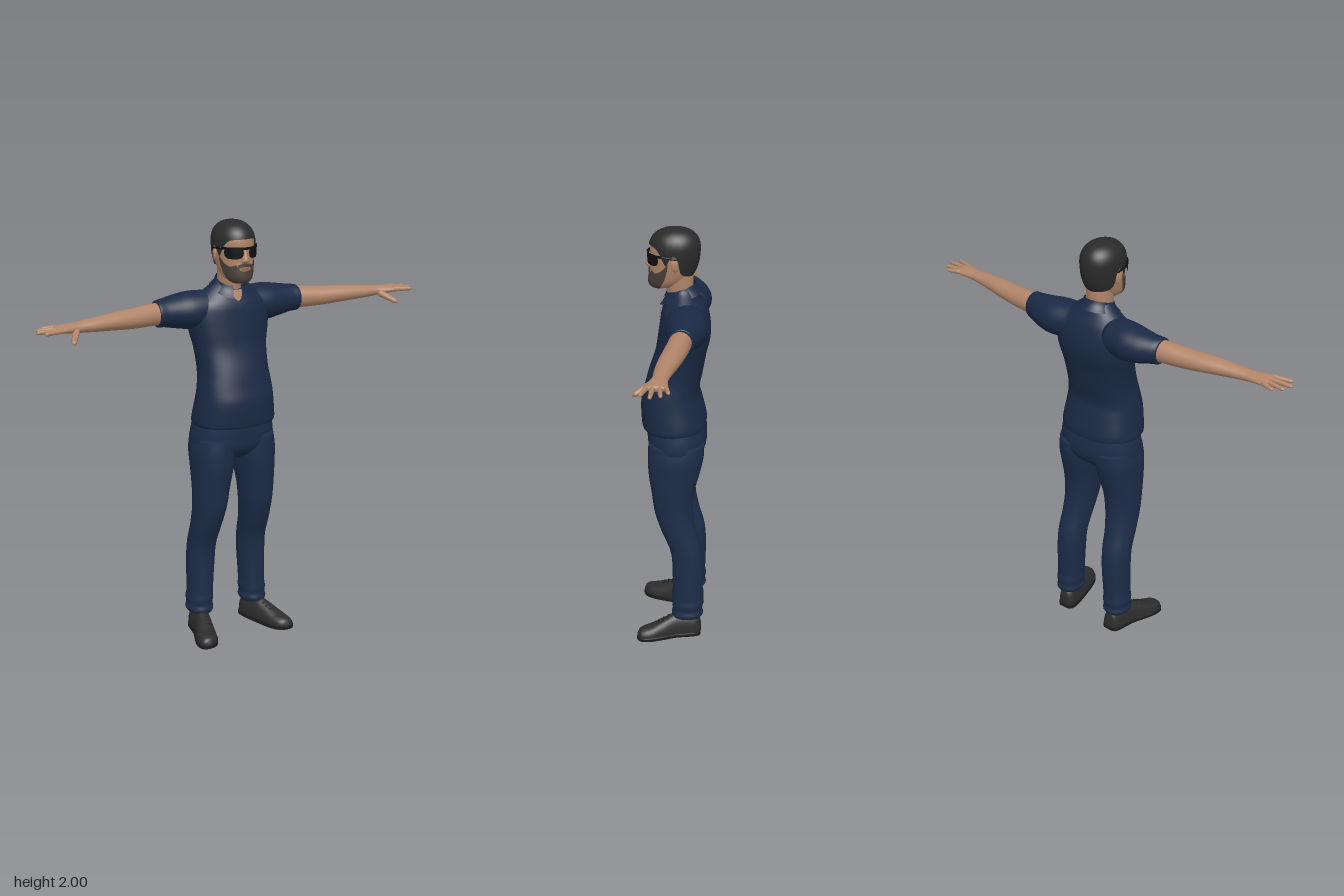
import * as THREE from 'three';
import { mergeVertices } from 'three/addons/utils/BufferGeometryUtils.js';

const mat = (name, color, double) => {
  const m = new THREE.MeshStandardMaterial({ color });
  m.name = name;
  if (double) m.side = THREE.DoubleSide;
  return m;
};

// Smoothly interpolate rows of numbers keyed by their first column
function at(rows, k) {
  const n = rows.length - 1;
  if (k <= rows[0][0]) return rows[0];
  if (k >= rows[n][0]) return rows[n];
  let i = 0;
  while (rows[i + 1][0] < k) i++;
  const slope = (j, c) => {
    const a = rows[Math.max(j - 1, 0)], b = rows[Math.min(j + 1, n)];
    return (b[c] - a[c]) / (b[0] - a[0]);
  };
  const A = rows[i], B = rows[i + 1], h = B[0] - A[0], t = (k - A[0]) / h, t2 = t * t, t3 = t2 * t;
  return A.map((_, c) => (2 * t3 - 3 * t2 + 1) * A[c] + (t3 - 2 * t2 + t) * h * slope(i, c)
    + (3 * t2 - 2 * t3) * B[c] + (t3 - t2) * h * slope(i + 1, c));
}

// Grid surface from fn(u, v); optionally wrapped round u and capped at both ends
function grid(fn, nu, nv, closed = false, capped = false) {
  const pos = [], idx = [], w = closed ? nu : nu + 1;
  for (let j = 0; j <= nv; j++) for (let i = 0; i < w; i++) pos.push(...fn(i / nu, j / nv));
  for (let j = 0; j < nv; j++) for (let i = 0; i < nu; i++) {
    const a = j * w + i, b = j * w + (i + 1) % w;
    idx.push(a, a + w, b, b, a + w, b + w);
  }
  if (capped) for (const j of [0, nv]) {
    const c = [0, 0, 0], id = pos.length / 3;
    for (let i = 0; i < w; i++) for (let k = 0; k < 3; k++) c[k] += pos[(j * w + i) * 3 + k] / w;
    pos.push(...c);
    for (let i = 0; i < w; i++) {
      const a = j * w + i, b = j * w + (i + 1) % w;
      idx.push(id, ...(j ? [b, a] : [a, b]));
    }
  }
  const g = new THREE.BufferGeometry();
  g.setAttribute('position', new THREE.Float32BufferAttribute(pos, 3));
  g.setIndex(idx);
  g.computeVertexNormals();
  return g;
}

// Point on a loft; rows are [key, centre u, centre v, radius u, radius v]
const ORDER = { y: (k, u, v) => [u, k, v], x: (k, u, v) => [k, v, u], z: (k, u, v) => [v, u, k] };
const pow = (c, p) => Math.sign(c) * Math.abs(c) ** (2 / p);
function surf(rows, a, k, off = 0, p = 2, axis = 'y') {
  const r = at(rows, k);
  return ORDER[axis](k, r[1] + (r[3] + off) * pow(Math.cos(a), p), r[2] + (r[4] + off) * pow(Math.sin(a), p));
}
function loft(axis, rows, { p = 2, n = 32, sub = 5, fix = q => q, off = 0 } = {}) {
  const m = rows.length - 1;
  return grid((u, v) => {
    const f = v * m, i = Math.min(Math.floor(f + 1e-6), m - 1);
    const k = rows[i][0] + (rows[i + 1][0] - rows[i][0]) * (f - i);
    return fix(surf(rows, u * 2 * Math.PI, k, off, p, axis));
  }, n, m * sub, true, true);
}

// Tapered rounded rod from a to b
function rod(a, b, r, taper = 0.75) {
  const A = new THREE.Vector3(...a), d = new THREE.Vector3(...b).sub(A), len = d.length();
  const g = new THREE.CapsuleGeometry(r, Math.max(len - 2 * r, 0.001), 5, 10), q = g.attributes.position;
  for (let i = 0; i < q.count; i++) {
    const s = 1 + (taper - 1) * (q.getY(i) / len + 0.5);
    q.setX(i, q.getX(i) * s);
    q.setZ(i, q.getZ(i) * s);
  }
  g.applyQuaternion(new THREE.Quaternion().setFromUnitVectors(new THREE.Vector3(0, 1, 0), d.clone().normalize()));
  return g.translate(...A.addScaledVector(d, 0.5).toArray());
}

function mirror(geo) {
  const g = geo.index ? geo.clone() : mergeVertices(geo);
  g.scale(-1, 1, 1);
  const ix = g.index.array;
  for (let i = 0; i < ix.length; i += 3) [ix[i], ix[i + 1]] = [ix[i + 1], ix[i]];
  g.computeVertexNormals();
  return g;
}

export function createModel() {
  const root = new THREE.Group();
  root.name = 'standingMan';
  const shirt = mat('navyShirt', 0x1a2944, true), trousers = mat('navyTrousers', 0x1c2c48);
  const skin = mat('skin', 0xb08468, true), hair = mat('hair', 0x2a2a2a, true), beard = mat('beard', 0x4a4039, true);
  const shoe = mat('shoeLeather', 0x2d2c2c), sole = mat('shoeSole', 0x1c1c1c);
  const black = mat('sunglassBlack', 0x101012, true), lip = mat('lips', 0x93604f, true);
  const add = (name, g, m) => {
    const mesh = new THREE.Mesh(g, m);
    mesh.name = name;
    root.add(mesh);
  };
  const pair = (name, g, m) => {
    add(name + 'Left', g, m);
    add(name + 'Right', mirror(g), m);
  };

  // Polo shirt: body with a lowered front neckline, then sleeves
  const body = [[1.06, 0, 0, .195, .147], [1.07, 0, 0, .2, .15], [1.1, 0, .002, .198, .151], [1.18, 0, .012, .187, .142],
    [1.24, 0, .012, .18, .128], [1.32, 0, -.005, .171, .125], [1.42, 0, -.03, .178, .118], [1.5, 0, -.045, .195, .12],
    [1.58, 0, -.048, .2, .112], [1.64, 0, -.043, .178, .098], [1.68, 0, -.035, .125, .08], [1.71, 0, -.03, .085, .068],
    [1.73, 0, -.027, .068, .06]];
  const neckline = ([x, y, z]) => [x, y > 1.6 ? y - (y - 1.6) * .35 * Math.max(0, (z + .03) / .07) : y, z];
  add('shirtBody', loft('y', body, { p: 2.3, n: 48, fix: neckline }), shirt);
  pair('sleeve', loft('x', [[.1, -.055, 1.6, .085, .08], [.2, -.065, 1.595, .095, .086], [.27, -.066, 1.595, .084, .076],
    [.33, -.059, 1.597, .068, .065], [.365, -.051, 1.597, .059, .061], [.37, -.05, 1.597, .055, .057]]), shirt);

  // Placket and the bare skin of the open neck, laid on the chest
  const onChest = (half, y0, y1, off) => grid((u, v) =>
    neckline(surf(body, Math.PI / 2 + (u - .5) * 2 * half(v), y0 + (y1 - y0) * v, off, 2.3)), 6, 12);
  add('placket', onChest(() => .03, 1.56, 1.665, .004), shirt);
  add('openNeck', onChest(v => .02 + .3 * v, 1.665, 1.73, .004), skin);

  // Folded collar, open at the front
  add('collar', grid((u, v) => {
    const a = Math.PI / 2 + .3 + u * (2 * Math.PI - .6), f = Math.sin(a);
    const r = .066 + .03 * v * v, drop = v < .15 ? 0 : (v - .15) * (.05 + .02 * Math.max(0, f) ** 3);
    return [r * Math.cos(a), 1.728 - .022 * f - drop, -.028 + r * 1.02 * f];
  }, 48, 8), shirt);

  // Trousers: hips, then each leg
  add('hips', loft('y', [[.89, 0, -.015, .1, .07], [.91, 0, -.015, .15, .1], [.95, 0, -.014, .198, .13],
    [1, 0, -.014, .204, .139], [1.08, 0, -.01, .192, .137]], { p: 2.3, n: 40 }), trousers);
  pair('trouserLeg', loft('y', [[.1, .148, -.07, .058, .07], [.115, .148, -.072, .064, .076], [.14, .147, -.072, .06, .071],
    [.165, .147, -.073, .063, .075], [.2, .145, -.072, .06, .072], [.35, .14, -.073, .065, .074], [.45, .137, -.064, .067, .075],
    [.55, .132, -.03, .07, .082], [.65, .125, -.005, .077, .09], [.75, .12, 0, .085, .1], [.85, .112, -.005, .095, .12],
    [.93, .107, -.012, .102, .13], [1, .1, -.015, .1, .13]], { p: 2.15 }), trousers);

  // Shoes turned slightly outward, with soles and laces
  const foot = [[-.137, .012, .143, .045, .022], [-.128, .012, .143, .08, .036], [-.1, .012, .145, .1, .045],
    [-.02, .012, .16, .102, .047], [.04, .012, .18, .078, .052], [.1, .012, .199, .052, .054], [.14, .012, .21, .041, .045],
    [.158, .012, .214, .03, .03], [.167, .012, .216, .012, .01]];
  pair('shoe', loft('z', foot, { p: 2.3, fix: ([x, y, z]) => [x, Math.max(y, .012), z] }), shoe);
  pair('shoeSole', loft('z', foot, { p: 2.3, off: .003, fix: ([x, y, z]) => [x, y < .012 ? 0 : Math.min(y, .018), z] }), sole);
  for (let i = 0; i < 3; i++) {
    const z = .02 + i * .022, f = at(foot, z), y = f[1] + f[3] * .95;
    pair('shoeLace' + i, rod([f[2] - .022, y, z], [f[2] + .022, y, z], .004, 1), sole);
  }

  // Bare arms and hands
  pair('arm', loft('x', [[.3, -.055, 1.597, .05, .052], [.4, -.045, 1.597, .05, .05], [.5, -.03, 1.595, .05, .045],
    [.6, -.015, 1.597, .047, .039], [.7, 0, 1.597, .04, .031], [.78, .008, 1.597, .034, .024], [.82, .013, 1.598, .041, .021],
    [.86, .017, 1.6, .048, .017], [.89, .018, 1.6, .046, .011]]), skin);
  [[-.018, .93, -.038], [.005, .965, -.008], [.029, .98, .035], [.05, .958, .076]].forEach(([z0, x1, z1], i) =>
    pair('finger' + i, rod([.86, 1.601, z0], [x1, 1.599, z1], .0125, .65), skin));
  pair('thumb', rod([.79, 1.592, .025], [.845, 1.55, .115], .018, .6), skin);

  // Neck and head
  add('neck', loft('y', [[1.62, 0, -.03, .062, .06], [1.7, 0, -.025, .06, .06], [1.8, 0, -.015, .064, .07]]), skin);
  const head = [[1.725, 0, .06, .03, .035], [1.732, 0, .052, .045, .055], [1.75, 0, .038, .062, .077], [1.78, 0, .02, .074, .094],
    [1.83, 0, .005, .084, .104], [1.88, 0, .001, .088, .109], [1.92, 0, 0, .088, .109], [1.95, 0, -.001, .079, .099],
    [1.972, 0, -.002, .062, .08], [1.986, 0, -.003, .042, .056], [1.993, 0, -.003, .022, .03], [1.995, 0, -.003, .001, .001]];
  add('head', loft('y', head, { n: 40 }), skin);
  add('nose', loft('y', [[1.818, 0, .106, .01, .006], [1.824, 0, .11, .018, .014], [1.834, 0, .113, .017, .017],
    [1.86, 0, .108, .01, .014], [1.89, 0, .104, .008, .007]], { n: 16 }), skin);
  const ear = new THREE.SphereGeometry(1, 16, 12).scale(.009, .032, .02).rotateY(.35).translate(.09, 1.853, -.008);
  pair('ear', ear, skin);

  // Hair shell whose lower edge follows hairline, sideburn, ear and nape
  const hairline = [[0, 1.928], [.75, 1.922], [1, 1.9], [1.2, 1.86], [1.32, 1.845], [1.45, 1.885], [1.7, 1.885], [1.9, 1.82],
    [2.3, 1.795], [3.15, 1.785]];
  add('hair', grid((u, v) => {
    const a = u * 2 * Math.PI, d = Math.acos(Math.sin(a)), y0 = at(hairline, d)[1], s = Math.sin(v * Math.PI / 2);
    const [x, y, z] = surf(head, a, y0 + (1.995 - y0) * s, v < 1 ? .007 : 0);
    return [x, y + .005 * s, z];
  }, 72, 24, true), hair);

  // Face patches that hug the head between two heights, d measured from the front
  const patch = (d0, d1, lo, hi, off, n = 32) => grid((u, v) => {
    const d = d0 + (d1 - d0) * u, y = lo(d, u) + (hi(d, u) - lo(d, u)) * v;
    return surf(head, Math.PI / 2 - d, y, off);
  }, n, 10);
  const flipped = g => { g.index.array.reverse(); g.computeVertexNormals(); return g; };
  const beardTop = [[0, 1.784], [.35, 1.79], [.5, 1.812], [.8, 1.805], [1.1, 1.82], [1.36, 1.855]];
  add('beard', flipped(patch(-1.36, 1.36, () => 1.726, d => at(beardTop, Math.abs(d))[1], .004, 48)), beard);
  add('moustache', flipped(patch(-.42, .42, d => 1.804 - .06 * d * d, d => 1.82 - .05 * d * d, .006)), beard);
  add('mouth', flipped(patch(-.28, .28, () => 1.786, d => 1.802 - .08 * d * d, .004)), lip);

  // Sunglasses: rounded lenses, brow bar and temples
  const bulge = u => .027 * Math.sqrt(Math.max(0, 1 - Math.abs(2 * u - 1) ** 4));
  pair('lens', flipped(patch(.13, 1, (d, u) => 1.868 - bulge(u), (d, u) => 1.868 + bulge(u), .013)), black);
  add('browBar', flipped(patch(-1.12, 1.12, () => 1.882, () => 1.894, .014)), black);
  pair('temple', rod([.092, 1.888, .055], [.097, 1.88, -.02], .005, 1), black);
  return root;
}
